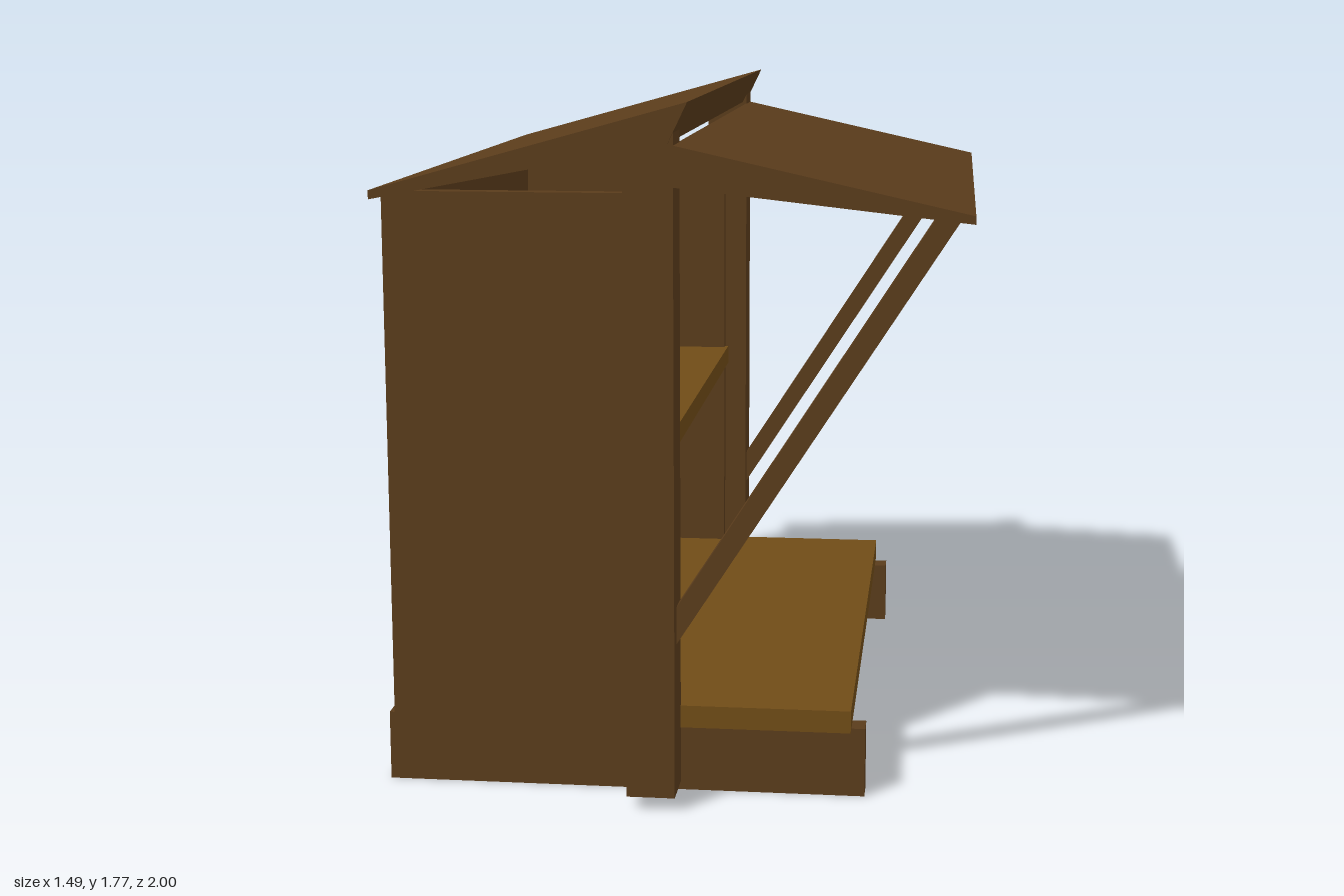
import * as THREE from 'three';

export function createModel() {
  const model = new THREE.Group();
  model.name = 'marketStall';
  const darkWood = new THREE.MeshStandardMaterial({ color: 0x5a3c1b });
  const lightWood = new THREE.MeshStandardMaterial({ color: 0x704c17 });

  function add(name, geometry, material = darkWood) {
    const mesh = new THREE.Mesh(geometry, material);
    mesh.name = name;
    model.add(mesh);
  }

  // Box given by its extents on each axis
  function box(name, [x0, x1], [y0, y1], [z0, z1], material) {
    const g = new THREE.BoxGeometry(x1 - x0, y1 - y0, z1 - z0);
    g.translate((x0 + x1) / 2, (y0 + y1) / 2, (z0 + z1) / 2);
    add(name, g, material);
  }

  // Side profile (x, y) extruded from z0 to z1
  function slab(name, points, [z0, z1], material) {
    const shape = new THREE.Shape(points.map(([x, y]) => new THREE.Vector2(x, y)));
    const g = new THREE.ExtrudeGeometry(shape, { depth: z1 - z0, bevelEnabled: false });
    g.translate(0, 0, z0);
    add(name, g, material);
  }

  // Parts repeated on both ends
  for (const s of [1, -1]) {
    const side = s > 0 ? 'near' : 'far';
    const span = (a, b) => (s > 0 ? [a, b] : [-b, -a]);
    box(side + 'Runner', [-0.745, 0.49], [0, 0.18], span(0.77, 0.835));
    box(side + 'Wall', [-0.72, -0.045], [0.16, 1.54], span(0.835, 0.88));
    box(side + 'Post', [-0.1, 0.022], [0.035, 1.71], span(0.867, 0.994));
    slab(side + 'Brace',
      [[0.02, 0.42], [0.71, 1.495], [0.65, 1.5], [0.02, 0.515]], span(0.897, 0.951));
  }

  // Back wall, floor and shelf
  box('backWall', [-0.72, -0.685], [0.16, 1.54], [-0.88, 0.88]);
  box('floor', [-0.69, 0.455], [0.18, 0.238], [-0.873, 0.873], lightWood);
  box('shelf', [-0.69, -0.035], [0.825, 0.88], [-0.863, 0.863], lightWood);

  // Tapered roof over the hut and tapered canopy over the counter
  slab('backRoof', [[-0.72, 1.53], [0.01, 1.67], [0.057, 1.768], [-0.72, 1.552]], [-1, 1]);
  slab('canopy', [[0.02, 1.565], [0.74, 1.485], [0.74, 1.505], [0.02, 1.665]], [-0.994, 0.994]);

  return model;
}
